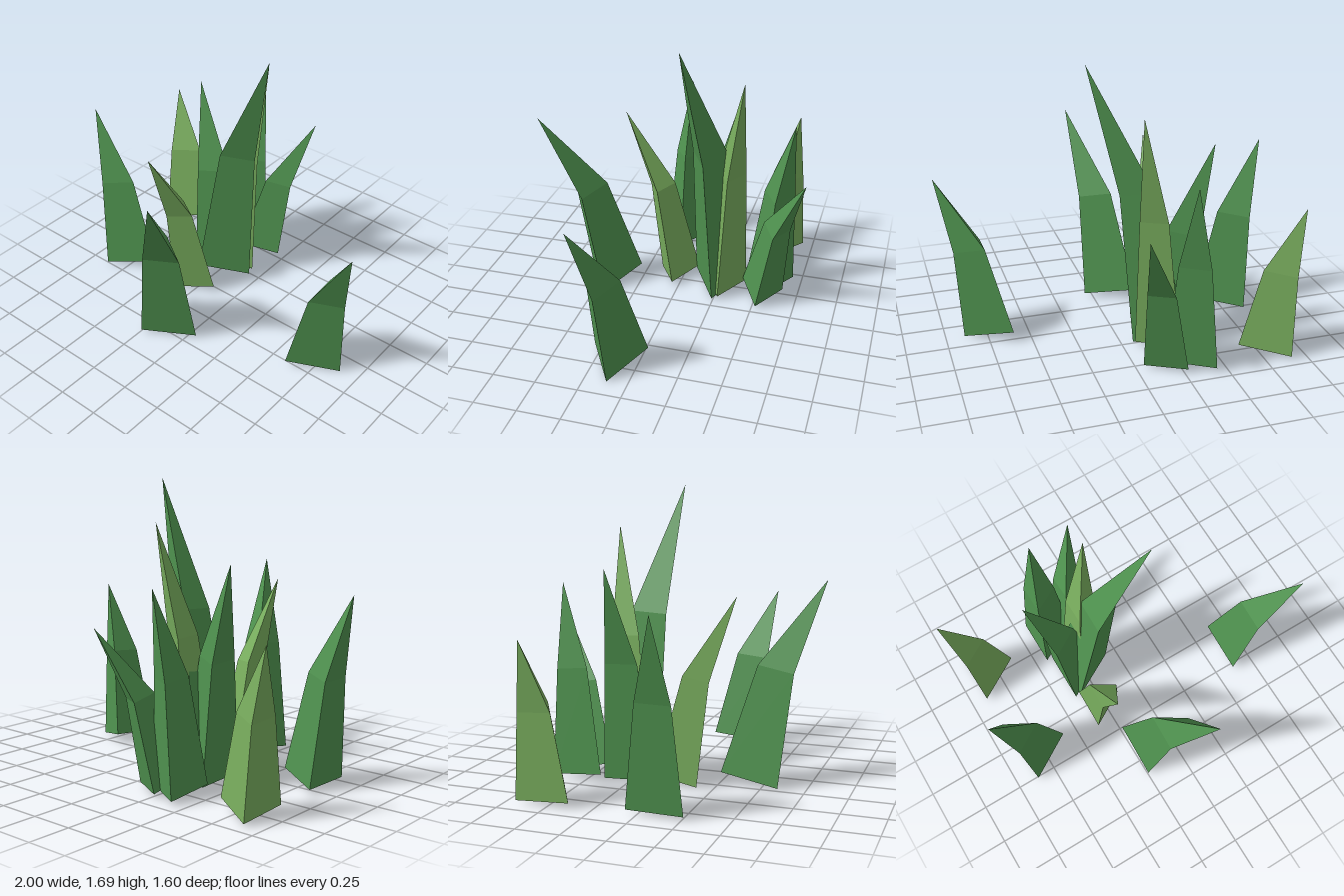
import * as THREE from 'three';

const darkGreen = new THREE.MeshStandardMaterial({ name: 'deepGrassGreen', color: 0x4f924f, flatShading: true });
const lightGreen = new THREE.MeshStandardMaterial({ name: 'paleGrassGreen', color: 0x79ae5e, flatShading: true });

const BASE_Y = 0.035; // height of each blade's base centre
const MID_LEAN = 0.33; // share of the lean reached at the bend
const MID_HEIGHT = 0.557; // share of the height reached at the bend
const MID_SCALE = 0.63; // width at the bend relative to the base

// Three corners around a centre, tilted with the blade's lower part
function ring(centre, radius, tilt) {
  return [0, 1, 2].map((k) => {
    const a = (k * Math.PI * 2) / 3;
    return new THREE.Vector3(Math.cos(a) * radius, 0, Math.sin(a) * radius)
      .applyQuaternion(tilt)
      .add(centre);
  });
}

// Three-sided blade: base triangle, smaller triangle at the bend, pointed tip
function bladeGeometry(x, z, radius, tipPoint) {
  const base = new THREE.Vector3(x, BASE_Y, z);
  const tip = new THREE.Vector3(...tipPoint);
  const mid = new THREE.Vector3(
    x + (tip.x - x) * MID_LEAN,
    BASE_Y + (tip.y - BASE_Y) * MID_HEIGHT,
    z + (tip.z - z) * MID_LEAN
  );
  const axis = mid.clone().sub(base).normalize();
  const tilt = new THREE.Quaternion().setFromUnitVectors(new THREE.Vector3(0, 1, 0), axis);
  const low = ring(base, radius, tilt);
  const high = ring(mid, radius * MID_SCALE, tilt);

  const corners = [...low]; // bottom cap
  for (let i = 0; i < 3; i++) {
    const j = (i + 1) % 3;
    corners.push(low[i], high[i], low[j], low[j], high[i], high[j]);
    corners.push(high[i], tip, high[j]);
  }
  const geometry = new THREE.BufferGeometry().setFromPoints(corners);
  geometry.computeVertexNormals();
  return geometry;
}

// Base x, base z, base radius, tip position, colour
const blades = [
  [-0.81, -0.53, 0.182, [-0.97, 0.91, -0.61], lightGreen],
  [-0.343, -0.545, 0.173, [-0.29, 1.135, -0.68], darkGreen],
  [-0.195, -0.525, 0.15, [0.02, 0.91, -0.8], darkGreen],
  [-0.228, -0.277, 0.155, [-0.07, 1.455, -0.41], lightGreen],
  [-0.3, -0.236, 0.18, [-0.52, 1.245, -0.32], darkGreen],
  [-0.262, -0.24, 0.193, [0.17, 1.69, -0.09], darkGreen],
  [-0.287, 0.035, 0.146, [-0.325, 1.1, 0.38], lightGreen],
  [-0.775, 0.1, 0.187, [-1, 1.08, 0.13], darkGreen],
  [-0.147, 0.432, 0.195, [0.067, 1.165, 0.8], darkGreen],
  [0.703, 0.123, 0.187, [1, 0.975, 0.28], darkGreen],
];

export function createModel() {
  const grass = new THREE.Group();
  grass.name = 'grassTuft';
  blades.forEach(([x, z, radius, tip, material], i) => {
    const blade = new THREE.Mesh(bladeGeometry(x, z, radius, tip), material);
    blade.name = `grassBlade${i + 1}`;
    grass.add(blade);
  });
  return grass;
}
